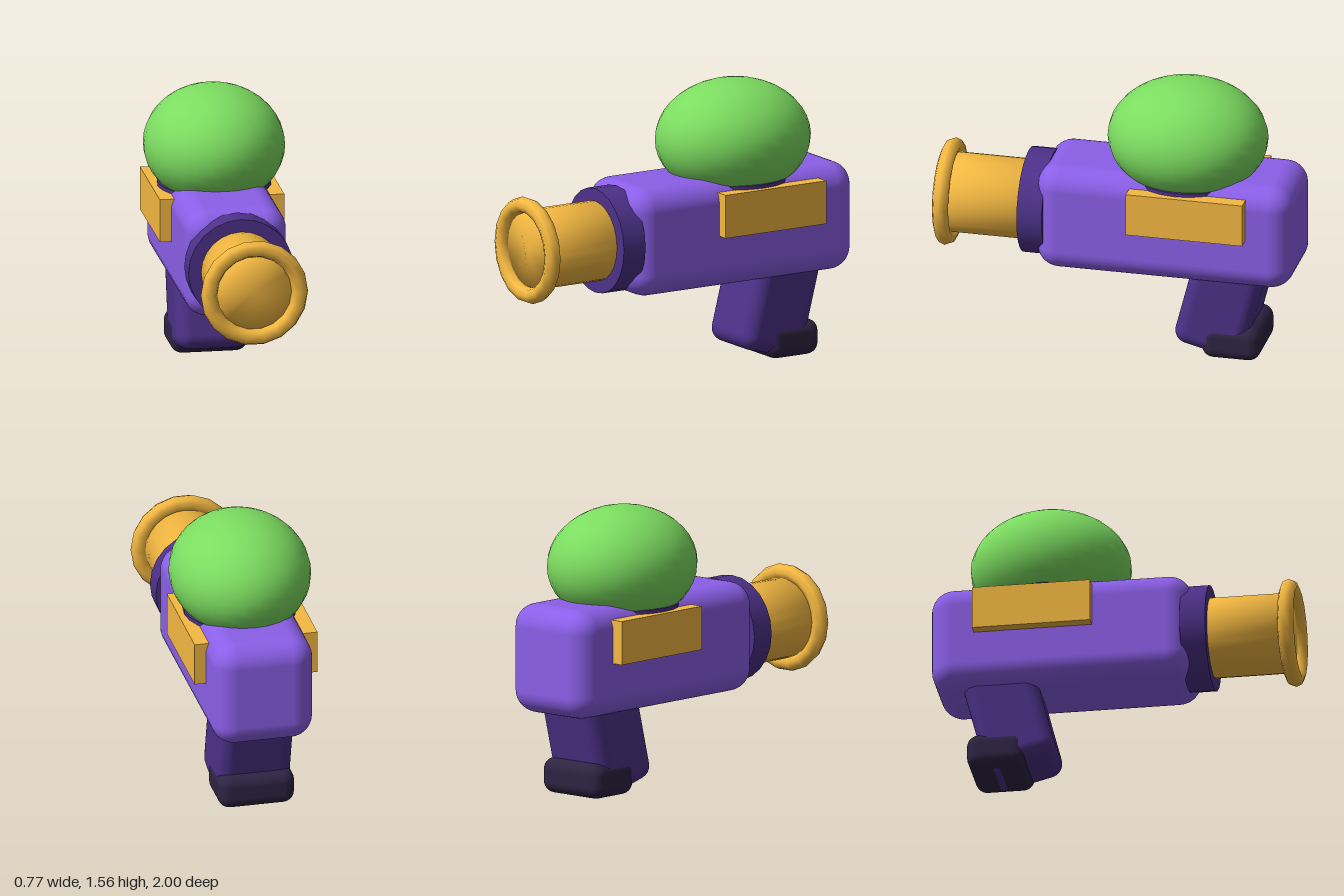
import * as THREE from 'three';
import { RoundedBoxGeometry } from 'three/addons/geometries/RoundedBoxGeometry.js';

const material = (color) => new THREE.MeshStandardMaterial({ color });

export function createModel() {
  const model = new THREE.Group();
  const purple = material(0x8b5fe8);
  const darkPurple = material(0x4d3189);
  const charcoal = material(0x2e2443);
  const gold = material(0xf5b942);
  const green = material(0x7cdc60);

  const add = (name, geometry, mat, x, y, z) => {
    const mesh = new THREE.Mesh(geometry, mat);
    mesh.name = name;
    mesh.position.set(x, y, z);
    model.add(mesh);
    return mesh;
  };

  // Soft-edged main housing
  add('body', new RoundedBoxGeometry(0.56, 0.6, 1.43, 5, 0.125), purple, 0, 0.76, -0.285);

  // Collar, barrel and muzzle ring along the z axis
  add('collar', new THREE.CylinderGeometry(0.29, 0.29, 0.14, 24), darkPurple, 0, 0.76, 0.45)
    .rotation.x = Math.PI / 2;
  // Barrel with its end cap shaded smoothly into the wall
  const barrelProfile = [[0, 0], [0.22, 0], [0.22, 0.49], [0, 0.49]]
    .map(([r, h]) => new THREE.Vector2(r, h));
  add('barrel', new THREE.LatheGeometry(barrelProfile, 24), gold, 0, 0.76, 0.46)
    .rotation.x = Math.PI / 2;
  add('muzzleRing', new THREE.TorusGeometry(0.25, 0.045, 8, 18), gold, 0, 0.76, 0.956);

  // Rounded tank and its seat on top of the body
  add('tank', new THREE.SphereGeometry(1, 28, 20), green, 0, 1.228, -0.37)
    .scale.set(0.385, 0.325, 0.44);
  add('tankSeat', new THREE.CylinderGeometry(0.31, 0.31, 0.1, 24), darkPurple, 0, 0.97, -0.37);

  // Side plates
  for (const [name, side] of [['leftPlate', 1], ['rightPlate', -1]]) {
    add(name, new THREE.BoxGeometry(0.08, 0.24, 0.65), gold, side * 0.303, 0.88, -0.428);
  }

  // Raked grip with a dark heel
  add('grip', new RoundedBoxGeometry(0.41, 0.7, 0.4, 4, 0.075), darkPurple, 0, 0.37, -0.596)
    .rotation.x = -0.25;
  add('gripHeel', new RoundedBoxGeometry(0.424, 0.195, 0.325, 4, 0.065), charcoal, 0, 0.0975, -0.647);

  return model;
}
